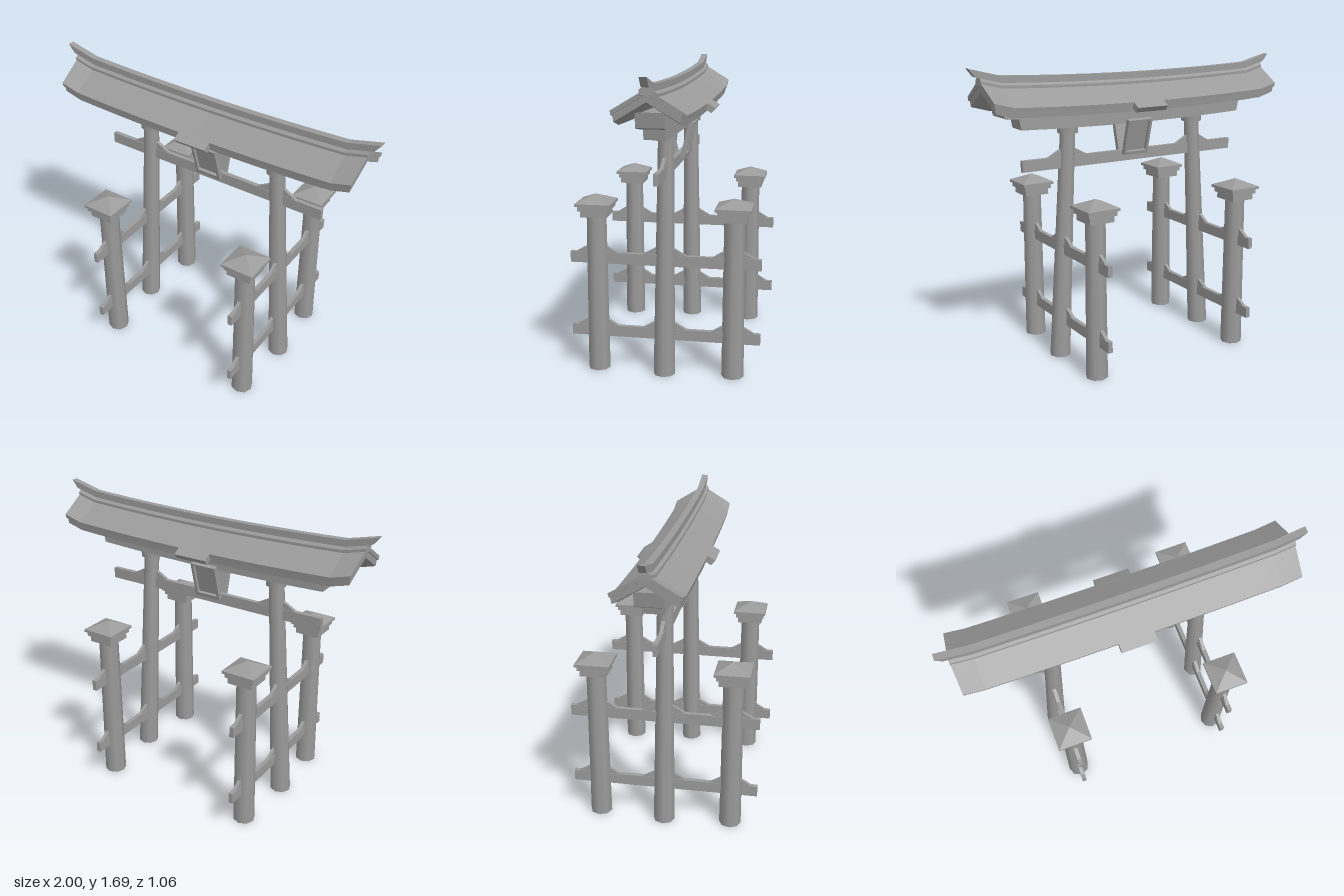
import * as THREE from 'three';

const material = new THREE.MeshStandardMaterial({ color: 0x9b9b9b });

function add(parent, name, geometry, x = 0, y = 0, z = 0) {
  const mesh = new THREE.Mesh(geometry, material);
  mesh.name = name;
  mesh.position.set(x, y, z);
  parent.add(mesh);
  return mesh;
}

function polygon(points) {
  return new THREE.Shape(points.map(([a, b]) => new THREE.Vector2(a, b)));
}

// Flat outline in x/y, given a thickness centred on z
function slab(shape, thickness) {
  return new THREE.ExtrudeGeometry(shape, { depth: thickness, bevelEnabled: false })
    .translate(0, 0, -thickness / 2);
}

// Upward sweep of the roof and lintels: gentle curve, then a steeper tip
function rise(x) {
  const a = Math.abs(x);
  return a < 0.82 ? 0.02 * (a / 0.82) ** 2 : 0.02 + (a - 0.82) * 0.25;
}

// Sweeps a [z, y] cross-section along x, following the rise; ends lean outwards
function curvedBeam(profile, half, lean = 0) {
  const top = Math.max(...profile.map((p) => p[1]));
  const side = [0.14, 0.28, 0.42, 0.56, 0.7, 0.82].filter((x) => x < half - 0.02).concat(half);
  const stations = [...side.map((x) => -x).reverse(), 0, ...side];
  const steps = stations.length - 1;
  const geometry = new THREE.ExtrudeGeometry(polygon(profile), { depth: 1, steps, bevelEnabled: false });
  const p = geometry.attributes.position;
  for (let i = 0; i < p.count; i++) {
    const x = stations[Math.round(p.getZ(i) * steps)];
    const y = p.getY(i);
    const shift = Math.abs(x) === half ? Math.sign(x) * lean * (y - top) : 0;
    p.setXYZ(i, x + shift, y + rise(x), -p.getX(i));
  }
  geometry.computeVertexNormals();
  return geometry;
}

function rectangle(halfZ, y0, y1) {
  return [[-halfZ, y0], [halfZ, y0], [halfZ, y1], [-halfZ, y1]];
}

// Two-sided pitched board with a vertical thickness
function chevron(halfZ, apex, slope, thickness, cut) {
  const eave = apex - slope * halfZ;
  const inZ = halfZ - cut;
  const low = apex - thickness - slope * inZ;
  return [[-halfZ, eave], [-inZ, low], [0, apex - thickness], [inZ, low], [halfZ, eave], [0, apex]];
}

// Wedge that tapers away from a post, along +x or -x
function wedge(from, to, y, height, thickness) {
  const pts = [[from, y], [to, y], [from, y + height]];
  return slab(polygon(to > from ? pts : pts.reverse()), thickness);
}

function mainPillar(side) {
  const group = new THREE.Group();
  group.name = side > 0 ? 'leftMainPillar' : 'rightMainPillar';
  const height = 1.32;
  const shaft = new THREE.CylinderGeometry(0.044, 0.061, height, 8).translate(0, height / 2, 0);
  const p = shaft.attributes.position;
  for (let i = 0; i < p.count; i++) {
    p.setX(i, p.getX(i) + side * (0.5 - 0.075 * p.getY(i) / height));
  }
  add(group, 'pillarShaft', shaft);
  add(group, 'pillarCapital', new THREE.CylinderGeometry(0.062, 0.06, 0.042, 8), side * 0.425, 1.326, 0);
  return group;
}

function sidePost(x, z) {
  const group = new THREE.Group();
  group.name = 'sidePost';
  group.position.set(x, 0, z);
  add(group, 'postShaft', new THREE.CylinderGeometry(0.056, 0.0625, 0.9, 8), 0, 0.45, 0);
  // Stepped cap
  [[0.073, 0.89, 0.926], [0.085, 0.926, 0.952], [0.097, 0.952, 0.967]].forEach(([r, y0, y1]) => {
    add(group, 'postCapStep', new THREE.BoxGeometry(2 * r, y1 - y0, 2 * r), 0, (y0 + y1) / 2, 0);
  });
  // Pyramid roof with crisp faces
  const roof = new THREE.ConeGeometry(0.097 * Math.SQRT2, 0.043, 4).rotateY(Math.PI / 4).toNonIndexed();
  roof.computeVertexNormals();
  add(group, 'postCapRoof', roof, 0, 0.9885, 0);
  return group;
}

// Tie beam through the pillar and its two posts, with wedges at every joint
function sideTie(x, y) {
  const group = new THREE.Group();
  group.name = 'sideTieBeam';
  group.position.x = x;
  add(group, 'tieBeam', new THREE.BoxGeometry(0.026, 0.062, 1.06), 0, y + 0.029, 0);
  [[0.05, 0.125], [0.428, 0.5], [0.332, 0.26]].forEach(([from, to]) => {
    for (const s of [1, -1]) {
      const geometry = wedge(s * from, s * to, y + 0.058, 0.043, 0.02);
      add(group, 'tieWedge', geometry.rotateY(-Math.PI / 2));
    }
  });
  return group;
}

// Framed tablet, leaning outwards at the top
function tablet(direction) {
  const group = new THREE.Group();
  group.name = direction > 0 ? 'frontTablet' : 'backTablet';
  const tilt = new THREE.Group();
  tilt.name = 'tabletBoard';
  tilt.position.set(0, 1.255, 0.056);
  tilt.rotation.x = 0.26;
  const frame = polygon([[-0.08, -0.108], [0.08, -0.108], [0.08, 0.106], [-0.08, 0.106]]);
  frame.holes.push(polygon([[-0.064, -0.088], [-0.064, 0.096], [0.064, 0.096], [0.064, -0.088]]));
  add(tilt, 'tabletFrame', slab(frame, 0.028));
  add(tilt, 'tabletPanel', new THREE.BoxGeometry(0.136, 0.2, 0.008), 0, 0, -0.009);
  group.add(tilt);
  group.rotation.y = direction > 0 ? 0 : Math.PI;
  return group;
}

export function createModel() {
  const model = new THREE.Group();
  model.name = 'shrineGate';

  // Pillars, posts and side ties
  for (const side of [1, -1]) {
    model.add(mainPillar(side));
    for (const z of [0.38, -0.38]) model.add(sidePost(side * 0.472, z));
    for (const y of [0.195, 0.62]) model.add(sideTie(side * 0.473, y));
  }

  // Cross beam with wedges beside the pillars
  add(model, 'crossBeam', new THREE.BoxGeometry(1.42, 0.064, 0.026), 0, 1.142, 0);
  for (const s of [1, -1]) {
    add(model, 'crossBeamWedge', wedge(s * 0.475, s * 0.555, 1.172, 0.045, 0.02));
    add(model, 'crossBeamWedge', wedge(s * 0.387, s * 0.305, 1.172, 0.045, 0.02));
  }

  // Stacked lintels
  add(model, 'lowerLintel', curvedBeam(rectangle(0.057, 1.334, 1.405), 0.745, 0.2));
  add(model, 'upperLintel', curvedBeam(rectangle(0.075, 1.397, 1.475), 0.85, 0.2));

  // Roof boards and ridge
  add(model, 'roofTop', curvedBeam(chevron(0.177, 1.575, 0.6, 0.024, 0.004), 0.94, 0.08));
  add(model, 'roofUnderlay', curvedBeam(chevron(0.168, 1.555, 0.6, 0.042, 0.006), 0.932, 0.08));
  const ridgeBase = [[-0.034, 1.545], [0.034, 1.545], [0.034, 1.57], [0.017, 1.585], [-0.017, 1.585], [-0.034, 1.57]];
  add(model, 'ridgeBase', curvedBeam(ridgeBase, 0.94));
  add(model, 'ridge', curvedBeam(rectangle(0.019, 1.575, 1.62), 1.0, 0.8));

  // Small central canopies continuing the eaves, and the tablets beneath them
  const canopyProfile = [[0.12, 1.465], [0.197, 1.415], [0.222, 1.443], [0.177, 1.47], [0.12, 1.5]];
  for (const d of [1, -1]) {
    const canopy = add(model, d > 0 ? 'frontCanopy' : 'backCanopy', slab(polygon(canopyProfile), 0.2));
    canopy.rotation.y = -d * Math.PI / 2;
    model.add(tablet(d));
  }
  return model;
}
